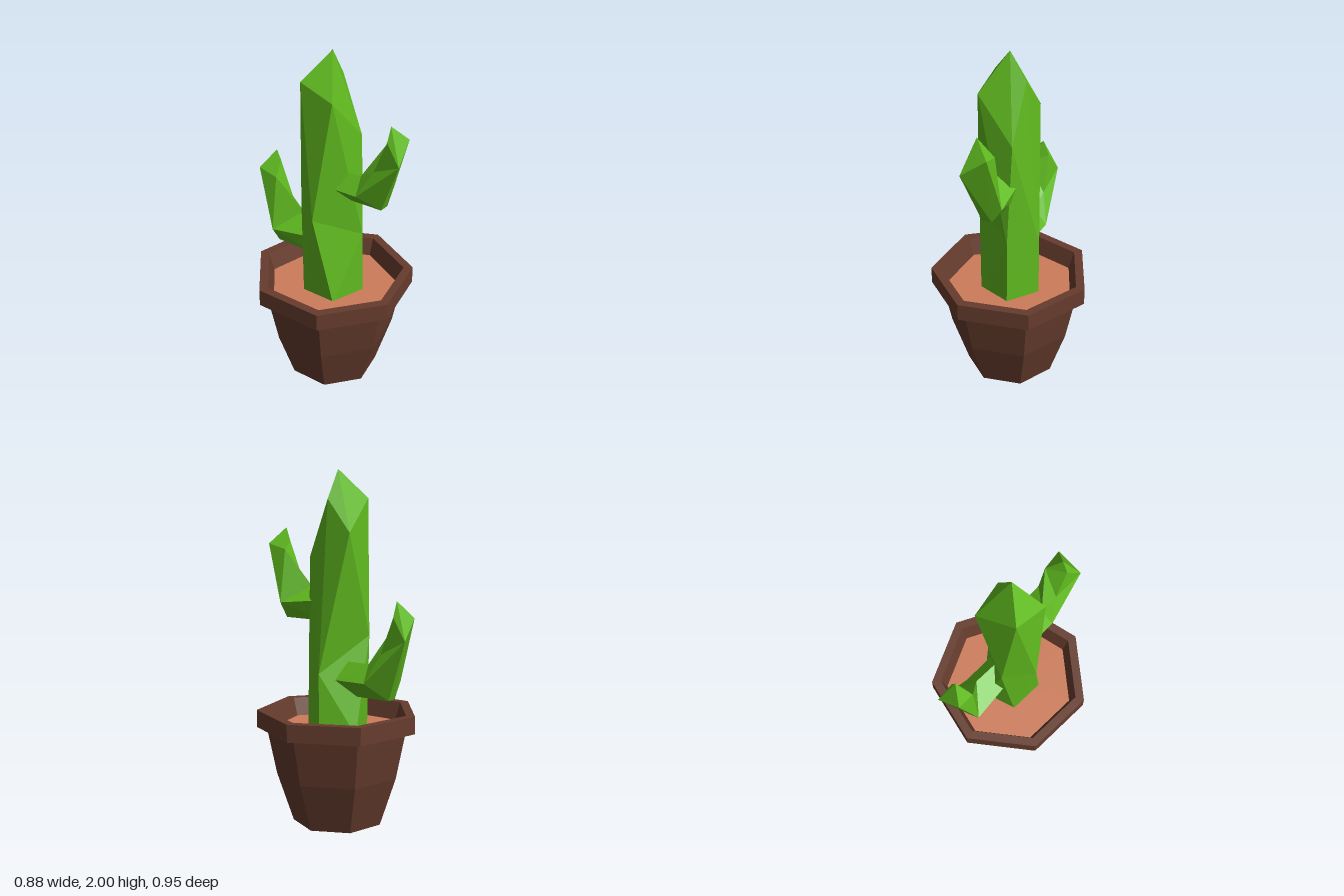
import * as THREE from 'three';

const brown = new THREE.MeshStandardMaterial({ color: 0x663c2d, flatShading: true, side: THREE.DoubleSide });
brown.name = 'potBrown';
const soilMat = new THREE.MeshStandardMaterial({ color: 0xcd7c5a, flatShading: true });
soilMat.name = 'soilClay';
const green = new THREE.MeshStandardMaterial({ color: 0x60ba1f, flatShading: true });
green.name = 'cactusGreen';

// Faceted skin through rings of equal length, closed by a single tip point.
// Each quad is split along its outward-bulging diagonal; collapsed corners are skipped.
function loft(rings, tip) {
  const out = [];
  const tri = (...corners) => {
    const [p, q, r] = corners;
    if (p.equals(q) || q.equals(r) || r.equals(p)) return;
    corners.forEach((v) => out.push(v.x, v.y, v.z));
  };
  const points = rings.map((ring) => ring.map((p) => new THREE.Vector3(...p)));
  const end = new THREE.Vector3(...tip);
  points.forEach((ring, k) => {
    const next = points[k + 1];
    ring.forEach((a, i) => {
      const j = (i + 1) % ring.length;
      const b = ring[j];
      if (!next) return tri(a, end, b);
      const c = next[i], d = next[j];
      const plane = new THREE.Plane().setFromCoplanarPoints(a, c, b);
      if (plane.distanceToPoint(d) > 0) {
        tri(a, c, d);
        tri(a, d, b);
      } else {
        tri(a, c, b);
        tri(b, c, d);
      }
    });
  });
  const geo = new THREE.BufferGeometry();
  geo.setAttribute('position', new THREE.Float32BufferAttribute(out, 3));
  geo.computeVertexNormals();
  return geo;
}

function mesh(name, geo, mat) {
  const m = new THREE.Mesh(geo, mat);
  m.name = name;
  return m;
}

// Seven-sided turned shape with a corner on +x
function heptagon(profile) {
  const pts = profile.map(([r, y]) => new THREE.Vector2(r, y));
  const geo = new THREE.LatheGeometry(pts, 7, Math.PI / 2).toNonIndexed();
  geo.computeVertexNormals();
  return geo.translate(-0.023, 0, 0.012);
}

export function createModel() {
  const model = new THREE.Group();
  model.name = 'pottedCactus';

  // Pot: tapered body open underneath, overhanging rim, sloped inner wall
  model.add(mesh('potBody', heptagon([[0.258, 0], [0.352, 0.28], [0.408, 0.55]]), brown));
  model.add(mesh('potRim', heptagon([
    [0.4, 0.55], [0.463, 0.55], [0.463, 0.65], [0.41, 0.65], [0.376, 0.545],
  ]), brown));
  model.add(mesh('soil', heptagon([[0.378, 0.547], [0, 0.547]]), soilMat));

  // Trunk: five-sided foot, four-cornered middle, irregular shoulder and tip
  const back = [-0.11, 1.08, -0.14];
  model.add(mesh('trunk', loft([
    [[0.155, 0.53, 0.015], [0.035, 0.53, 0.183], [-0.163, 0.53, 0.118],
      [-0.163, 0.53, -0.09], [0.035, 0.53, -0.153]],
    [[0.155, 0.88, 0.015], [0.035, 0.92, 0.178], [-0.22, 1.07, 0.02], back, back],
    [[0.07, 1.84, 0.015], [0.055, 1.52, 0.15], [-0.165, 1.77, 0.115],
      [-0.165, 1.84, -0.09], [0.08, 1.66, -0.14]],
  ], [-0.025, 2, 0.015]), green));

  // Arm: five-sided branch going out along +z, then bending up to a point
  const outerRight = [0.06, 1.58, 0.445], outerLeft = [-0.08, 1.48, 0.475];
  const crook = [-0.065, 1.4, 0.31], innerLeft = [-0.06, 1.59, 0.385], innerRight = [0.05, 1.55, 0.335];
  const armGeo = loft([
    [[0.03, 1.16, 0.05], [-0.04, 1.16, 0.05], [-0.125, 1.25, 0.05], [-0.05, 1.34, 0.05], [0.06, 1.28, 0.05]],
    [[0.03, 1.16, 0.34], [-0.03, 1.16, 0.34], [-0.12, 1.25, 0.235], [-0.05, 1.34, 0.22], [0.09, 1.25, 0.34]],
    [outerRight, outerLeft, crook, crook, innerRight],
    [outerRight, outerLeft, innerLeft, innerLeft, innerRight],
  ], [-0.025, 1.67, 0.385]);
  model.add(mesh('frontArm', armGeo, green));

  // The back arm is the same branch turned round and set lower
  const backArm = mesh('backArm', armGeo, green);
  backArm.rotation.y = Math.PI;
  backArm.scale.y = 1.088;
  backArm.position.set(-0.04, 0.745 - 1.16 * 1.088, 0);
  model.add(backArm);

  return model;
}
